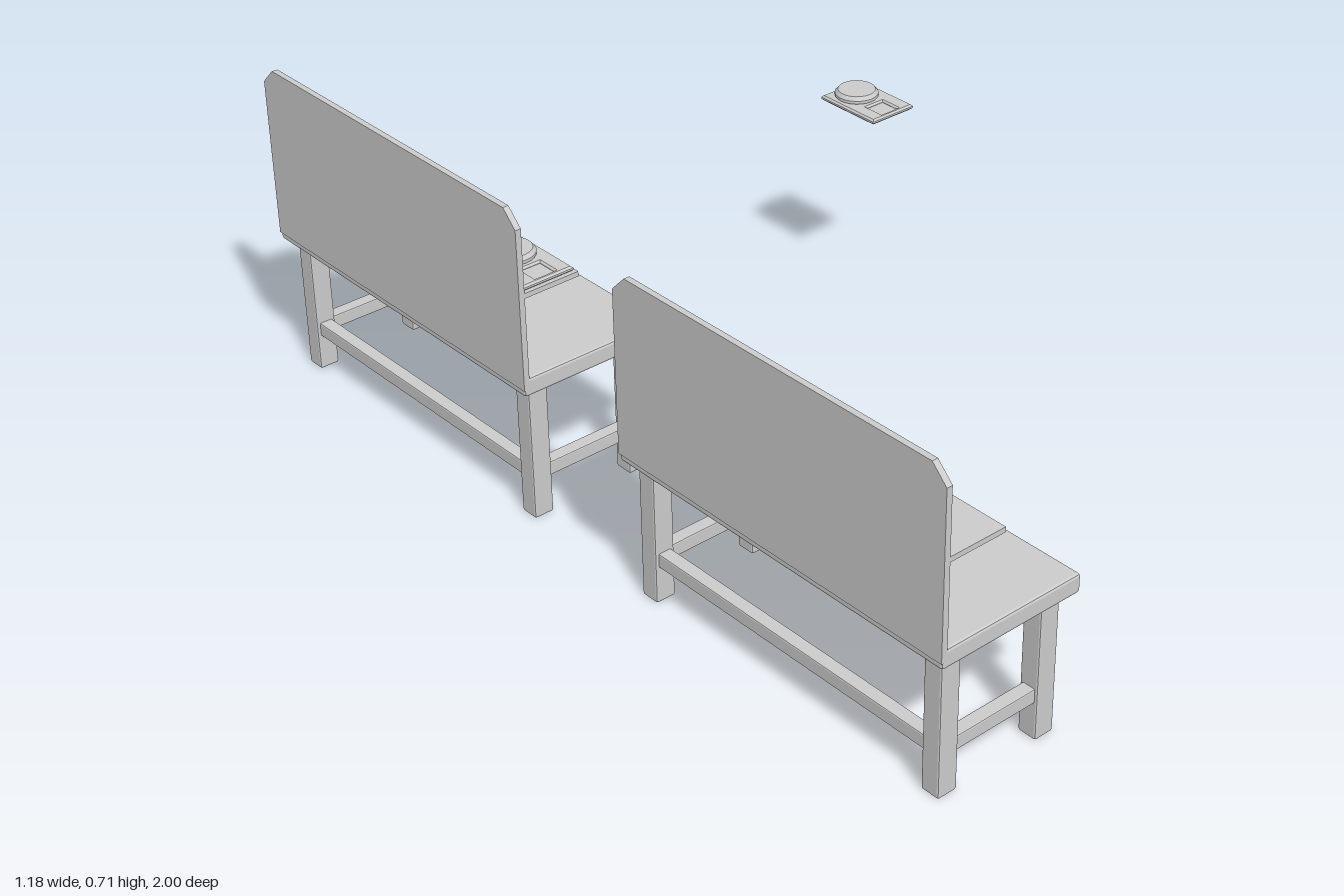
import * as THREE from 'three';
import { RoundedBoxGeometry } from 'three/addons/geometries/RoundedBoxGeometry.js';

const material = new THREE.MeshStandardMaterial({ color: 0xcccccc, flatShading: true });

function part(name, geometry, x = 0, y = 0, z = 0) {
  const mesh = new THREE.Mesh(geometry, material);
  mesh.name = name;
  mesh.position.set(x, y, z);
  return mesh;
}

// Box with slightly chamfered edges, given by its limits on each axis
function block(name, [x0, x1], [y0, y1], [z0, z1], chamfer = 0.004) {
  const geometry = new RoundedBoxGeometry(x1 - x0, y1 - y0, z1 - z0, 1, chamfer);
  return part(name, geometry, (x0 + x1) / 2, (y0 + y1) / 2, (z0 + z1) / 2);
}

// Upright board with its two upper corners cut off
function backBoard() {
  const w = 0.428, low = 0.32, high = 0.708, cut = 0.035;
  const shape = new THREE.Shape([
    [-w, low], [w, low], [w, high - cut], [w - cut, high], [-w + cut, high], [-w, high - cut],
  ].map(([x, y]) => new THREE.Vector2(x, y)));
  const geometry = new THREE.ExtrudeGeometry(shape, { depth: 0.013, bevelEnabled: false });
  geometry.rotateY(-Math.PI / 2);
  return part('backBoard', geometry, -0.581, 0, 0);
}

// Bench with a back board, a narrow shelf and a braced frame
function bench(name, z) {
  const group = new THREE.Group();
  group.name = name;
  group.position.z = z;
  group.add(block('benchTop', [-0.592, -0.258], [0.305, 0.345], [-0.428, 0.428], 0.006));
  group.add(backBoard());
  group.add(part('shelf', new THREE.BoxGeometry(0.129, 0.011, 0.856), -0.5175, 0.5275, 0));
  for (const side of [-1, 1]) {
    for (const x of [-0.545, -0.305]) {
      const zc = side * 0.382;
      group.add(block('leg', [x - 0.0225, x + 0.0225], [0, 0.308], [zc - 0.0215, zc + 0.0215]));
    }
    group.add(block('sideStretcher', [-0.526, -0.324], [0.08, 0.111],
      [side * 0.382 - 0.015, side * 0.382 + 0.015], 0.003));
  }
  group.add(block('backStretcher', [-0.56, -0.53], [0.08, 0.111], [-0.364, 0.364], 0.003));
  return group;
}

// Round pad with a bevelled upper rim
function disc(name, r, h) {
  const profile = [[0, 0], [r * 0.97, 0], [r, h * 0.15], [r, h * 0.5], [r * 0.86, h], [0, h]]
    .map(([x, y]) => new THREE.Vector2(x, y));
  return part(name, new THREE.LatheGeometry(profile, 24), 0, 0, 0);
}

function rectangle(Type, w, d, cy = 0) {
  return new Type([[-w, cy - d], [w, cy - d], [w, cy + d], [-w, cy + d]]
    .map(([x, y]) => new THREE.Vector2(x, y)));
}

// Small plate with a disc at one end and a square recess at the other
function tile(name, x, y, z) {
  const group = new THREE.Group();
  group.name = name;
  group.position.set(x, y, z);
  const shape = rectangle(THREE.Shape, 0.055, 0.079);
  shape.holes.push(rectangle(THREE.Path, 0.027, 0.027, -0.048));
  const plate = new THREE.ExtrudeGeometry(shape, {
    depth: 0.004, bevelThickness: 0.004, bevelSize: 0.004, bevelSegments: 1,
  });
  plate.rotateX(-Math.PI / 2);
  group.add(part('tilePlate', plate, 0, 0.004, 0));
  group.add(part('recessFloor', new THREE.BoxGeometry(0.052, 0.006, 0.052), 0, 0.004, 0.048));
  const pad = disc('tileDisc', 0.048, 0.016);
  pad.position.set(0, 0.0115, -0.033);
  group.add(pad);
  return group;
}

export function createModel() {
  const model = new THREE.Group();
  model.name = 'benches';
  model.add(bench('frontBench', 0.572), bench('rearBench', -0.572));

  // Row of tiles on the rear shelf
  for (let i = 0; i < 5; i++) model.add(tile('shelfTile', -0.518, 0.532, -0.916 + i * 0.1705));

  // Large disc on the rear bench top
  const largeDisc = disc('largeDisc', 0.072, 0.024);
  largeDisc.position.set(-0.451, 0.345, -0.889);
  model.add(largeDisc);

  // Separate tile hanging in front of the benches
  model.add(tile('looseTile', 0.532, 0.472, -0.39));
  return model;
}
